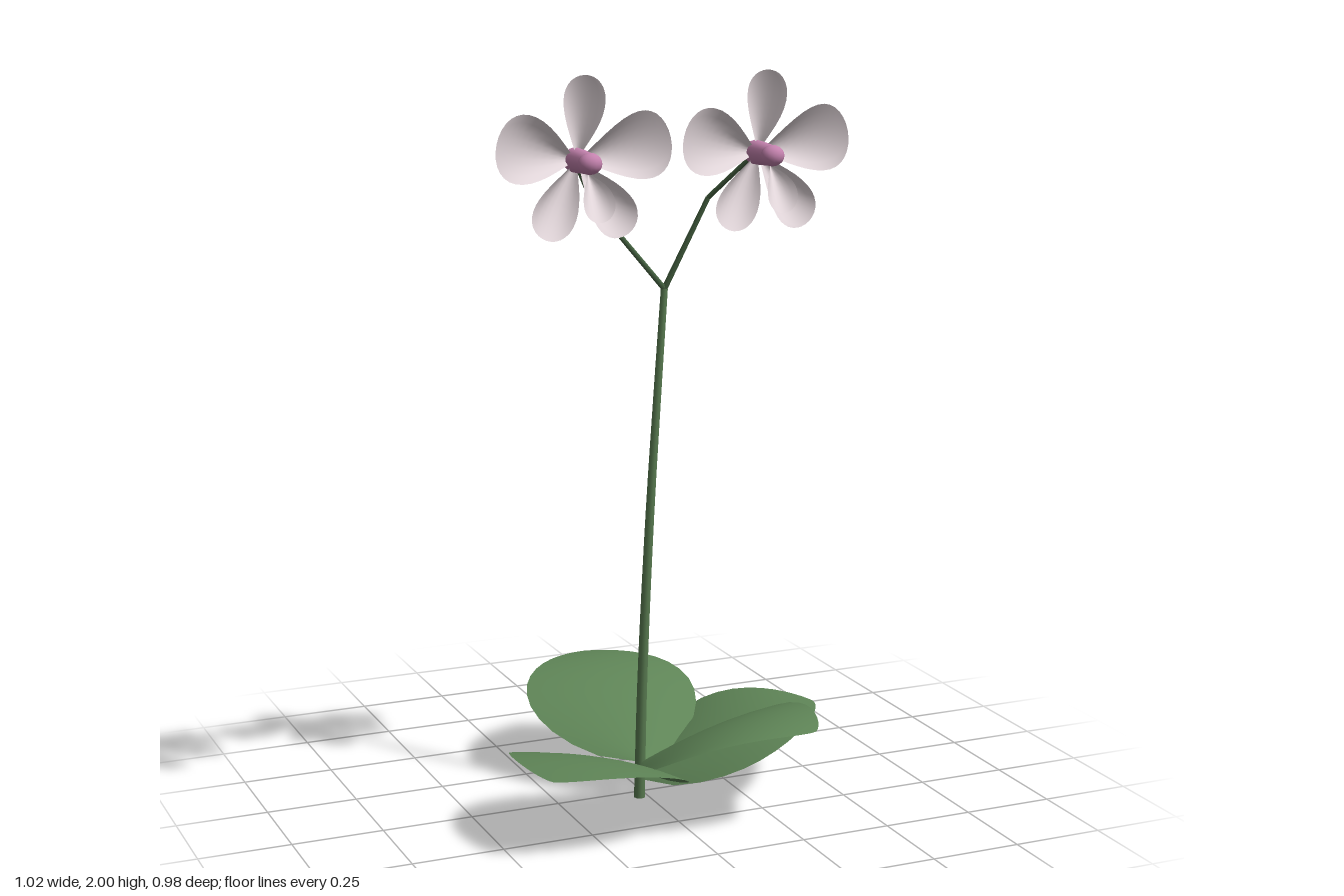
import * as THREE from 'three';

const mat = (name, color, side = THREE.FrontSide) => {
  const m = new THREE.MeshStandardMaterial({ color, side });
  m.name = name;
  return m;
};

// Thin blade running along +x, spread over z, bent by height(t, v) in y
function blade(length, halfWidth, profile, height, rows = 14, cols = 8) {
  const pos = [], index = [];
  for (let i = 0; i <= rows; i++) {
    const t = Math.sin((i / rows) * Math.PI / 2);
    for (let j = 0; j <= cols; j++) {
      const v = (j / cols) * 2 - 1;
      pos.push(t * length, height(t, v), v * halfWidth * profile(t));
      if (i < rows && j < cols) {
        const a = i * (cols + 1) + j, b = a + cols + 1;
        index.push(a, a + 1, b, a + 1, b + 1, b);
      }
    }
  }
  const g = new THREE.BufferGeometry();
  g.setAttribute('position', new THREE.Float32BufferAttribute(pos, 3));
  g.setIndex(index);
  g.computeVertexNormals();
  return g;
}

const leafProfile = (t) => Math.pow(Math.max(0, Math.sin(Math.PI * t)), 0.7);
const petalProfile = (t) => Math.pow(t, 1.2) * Math.sqrt(Math.max(0, 1 - t)) / 0.357;

export function createModel() {
  const model = new THREE.Group();
  const leafMat = mat('leaf green', 0x5f8557, THREE.DoubleSide);
  const stemMat = mat('stem green', 0x587a50);
  const branchMat = mat('branch green', 0x486644);
  const petalMat = mat('pale petal', 0xe6dade, THREE.DoubleSide);
  const heartMat = mat('flower heart pink', 0xc482ae);

  const add = (parent, name, geometry, material) => {
    const mesh = new THREE.Mesh(geometry, material);
    mesh.name = name;
    parent.add(mesh);
    return mesh;
  };
  const vec = (p) => new THREE.Vector3(...p);

  // Arching leaves with drooping edges: tip x, tip z, base height, rise
  const baseX = -0.02, baseZ = 0.04;
  [
    ['backLeaf', 0.025, -0.49, 0.1, 0.17],
    ['leftLeaf', 0.51, 0.04, 0.05, 0.165],
    ['frontLeftLeaf', 0.3, 0.465, 0.1, 0.192],
    ['frontRightLeaf', -0.418, 0.4, 0.07, 0.163],
  ].forEach(([name, tx, tz, y, rise]) => {
    const dx = tx - baseX, dz = tz - baseZ;
    const g = blade(Math.hypot(dx, dz), 0.245, leafProfile,
      (t, v) => rise * Math.sin(1.9 * t) - 0.05 * v * v * (1 - t) * leafProfile(t), 16, 12);
    const leaf = add(model, name, g, leafMat);
    leaf.position.set(baseX, y, baseZ);
    leaf.rotation.y = Math.atan2(-dz, dx);
  });

  // Main stem, tapering toward the fork
  const fork = [0.045, 1.415, 0.045];
  const stemPath = new THREE.CatmullRomCurve3(
    [[-0.025, 0, 0.04], [-0.021, 0.35, 0.052], [-0.003, 0.8, 0.06], [0.02, 1.12, 0.055], fork].map(vec));
  const rings = 14, sides = 8;
  const stemGeo = new THREE.TubeGeometry(stemPath, rings, 1, sides, false);
  const p = stemGeo.attributes.position, c = new THREE.Vector3(), q = new THREE.Vector3();
  for (let i = 0; i < p.count; i++) {
    const u = Math.floor(i / (sides + 1)) / rings;
    stemPath.getPointAt(u, c);
    q.fromBufferAttribute(p, i).sub(c).multiplyScalar(0.016 - 0.006 * u).add(c);
    p.setXYZ(i, q.x, q.y, q.z);
  }
  add(model, 'stem', stemGeo, stemMat);
  const foot = add(model, 'stemFoot', new THREE.CircleGeometry(0.016, sides), stemMat);
  foot.rotation.x = Math.PI / 2;
  foot.position.set(-0.025, 0.001, 0.04);

  // Straight branch piece between two points
  const rod = (name, a, b, r0, r1) => {
    const from = vec(a), d = vec(b).sub(from);
    const m = add(model, name, new THREE.CylinderGeometry(r1, r0, d.length(), 6), branchMat);
    m.position.copy(from).addScaledVector(d, 0.5);
    m.quaternion.setFromUnitVectors(new THREE.Vector3(0, 1, 0), d.normalize());
  };

  // Petals: name, angle in degrees, length, half width
  const petals = [
    ['topPetal', 90, 0.215, 0.056],
    ['leftPetal', 13, 0.238, 0.086],
    ['rightPetal', 167, 0.238, 0.086],
    ['lowerLeftPetal', -58, 0.217, 0.058],
    ['lowerRightPetal', -122, 0.217, 0.058],
  ];
  // Cupped: the edges come forward ahead of the middle
  const petalBend = (t, v) => 0.055 * Math.pow(t, 2.2) + 0.036 * v * v * Math.sin(Math.PI * t);

  const flower = (name, x) => {
    const g = new THREE.Group();
    g.name = name;
    g.position.set(x, 1.785, 0.229);
    for (const [label, angle, length, half] of petals) {
      const geo = blade(length, half, petalProfile, petalBend);
      geo.rotateX(Math.PI / 2).rotateZ(THREE.MathUtils.degToRad(angle));
      add(g, label, geo, petalMat);
    }
    // Hanging lip
    const lip = blade(0.14, 0.042, petalProfile, (t, v) => 0.03 * v * v * Math.sin(Math.PI * t));
    lip.rotateX(Math.PI / 2).rotateZ(-Math.PI / 2).rotateX(-0.62);
    add(g, 'lip', lip, petalMat).position.set(0, -0.025, 0.073);
    // Heart: tapered column and rounded cap
    const column = new THREE.CylinderGeometry(0.026, 0.033, 0.09, 12).rotateX(Math.PI / 2);
    add(g, 'column', column, heartMat).position.z = 0.036;
    const cap = add(g, 'cap', new THREE.SphereGeometry(0.031, 14, 10), heartMat);
    cap.position.z = 0.088;
    cap.scale.set(1, 0.88, 0.9);
    model.add(g);
  };

  // Two forked branches, each ending in a flower
  [['right', -0.275, -0.185], ['left', 0.225, 0.14]].forEach(([side, x, bendX]) => {
    const bend = [bendX, 1.66, 0.112];
    rod(side + 'LowerBranch', fork, bend, 0.008, 0.0065);
    rod(side + 'UpperBranch', bend, [x, 1.782, 0.215], 0.0065, 0.006);
    flower(side + 'Flower', x);
  });

  return model;
}
